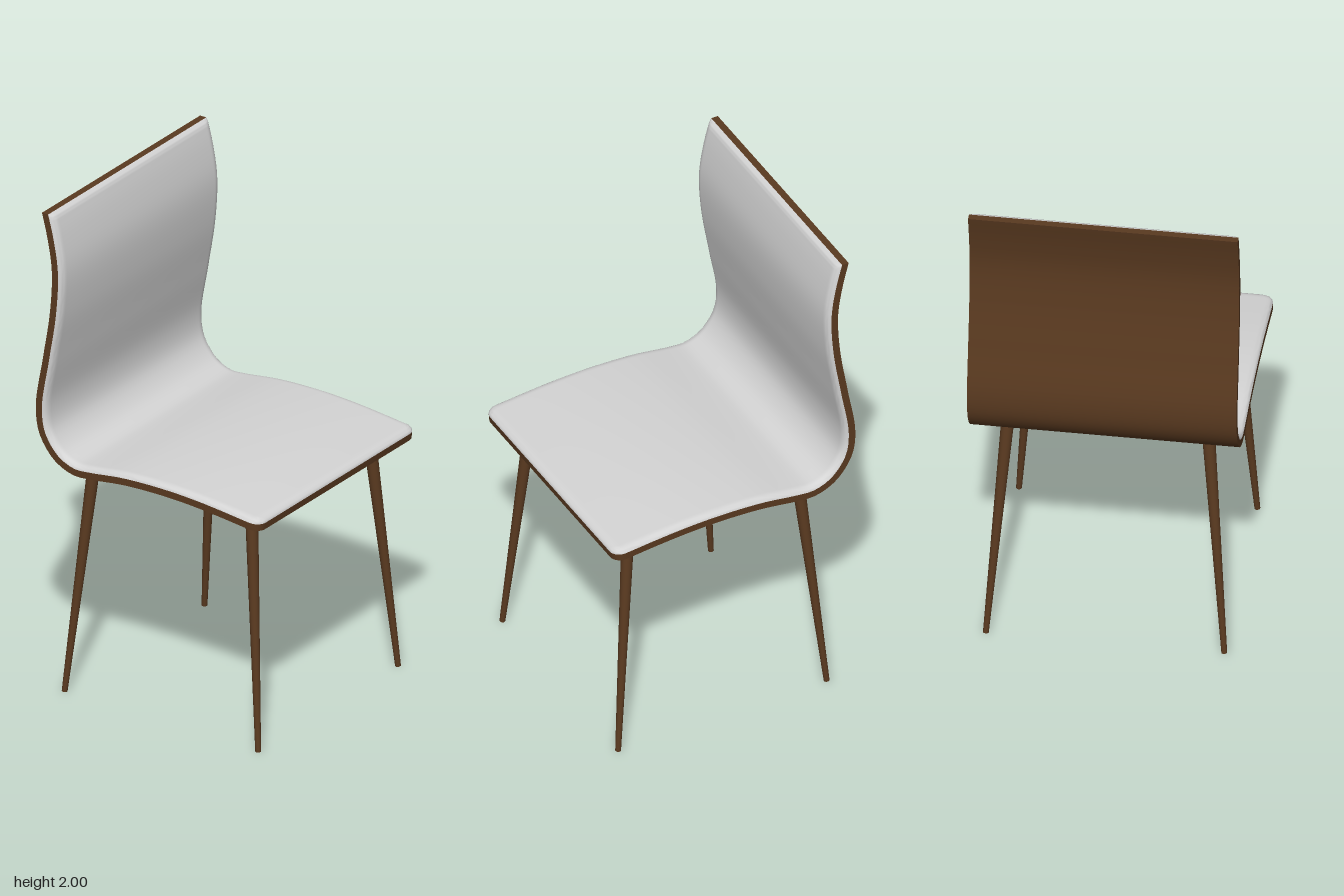
import * as THREE from 'three';
import { toCreasedNormals } from 'three/addons/utils/BufferGeometryUtils.js';

const HALF_WIDTH = 0.51, WOOD = 0.028, PAD = 0.018, CORNER = 0.045;

// underside of the shell, from the top of the back to the front of the seat (z, y)
const profile = new THREE.CatmullRomCurve3([
  [-0.475, 2], [-0.45, 1.9], [-0.43, 1.77], [-0.438, 1.6], [-0.47, 1.4], [-0.503, 1.2],
  [-0.495, 1.1], [-0.468, 1.04], [-0.42, 0.985], [-0.37, 0.957], [-0.32, 0.945],
  [-0.25, 0.95], [-0.1, 0.97], [0.08, 0.977], [0.25, 0.971], [0.52, 0.945],
].map(([z, y]) => new THREE.Vector3(0, y, z)), false, 'centripetal');
profile.arcLengthDivisions = 800;

// stations along the profile, closer together at both ends
function makeStations() {
  const length = profile.getLength();
  const ends = [0, 1, 2, 3, 4, 5, 6, 7].map(i => CORNER * (1 - Math.cos(i / 8 * Math.PI / 2)));
  const distances = [...ends];
  for (let i = 0; i <= 64; i++) distances.push(CORNER + (length - 2 * CORNER) * i / 64);
  for (const e of [...ends].reverse()) distances.push(length - e);
  return distances.map(d => {
    const u = Math.min(1, d / length);
    const point = profile.getPointAt(u), tangent = profile.getTangentAt(u);
    const normal = new THREE.Vector3(0, tangent.z, -tangent.y);
    // keep the top edge of the back level
    normal.y *= Math.min(1, d / 0.15);
    normal.normalize();
    return { point, normal, fromTop: d, fromFront: Math.max(0, length - d) };
  });
}

const quarter = (d, r) => d >= r ? 1 : Math.sqrt(1 - (1 - d / r) ** 2);
const halfWidth = s => HALF_WIDTH - CORNER + CORNER * quarter(s.fromFront, CORNER);

// joins one closed cross-section per station; a section lists [across, outward] pairs
function loft(stations, section, crease) {
  const positions = [], index = [];
  let n = 0;
  for (const s of stations) {
    const ring = section(s);
    n = ring.length;
    for (const [x, h] of ring) {
      positions.push(x, s.point.y + s.normal.y * h, s.point.z + s.normal.z * h);
    }
  }
  const last = (stations.length - 1) * n;
  for (let i = 0; i < last; i += n) {
    for (let j = 0; j < n; j++) {
      const a = i + j, b = i + (j + 1) % n;
      index.push(a, b, b + n, a, b + n, a + n);
    }
  }
  for (let j = 1; j < n - 1; j++) {
    index.push(0, j + 1, j, last, last + j, last + j + 1);
  }
  const geometry = new THREE.BufferGeometry();
  geometry.setAttribute('position', new THREE.Float32BufferAttribute(positions, 3));
  geometry.setIndex(index);
  return toCreasedNormals(geometry, crease);
}

function woodSection(s) {
  const w = halfWidth(s);
  return [[-w, 0], [w, 0], [w, WOOD], [-w, WOOD]];
}

// pad with softly rounded rims
function padSection(s) {
  const w = halfWidth(s), rim = 0.035;
  const height = PAD * Math.max(0.15, quarter(s.fromFront, 0.035) * quarter(s.fromTop, 0.02));
  const right = [];
  for (let k = 0; k <= 6; k++) {
    const a = k / 6 * Math.PI / 2;
    right.push([w - rim + rim * Math.cos(a), WOOD + height * Math.sin(a)]);
  }
  return [...right, ...right.map(([x, h]) => [-x, h]).reverse()];
}

export function createModel() {
  const wood = new THREE.MeshStandardMaterial({ color: 0x5a3a20 });
  wood.name = 'walnut wood';
  const fabric = new THREE.MeshStandardMaterial({ color: 0xd4d4d4 });
  fabric.name = 'light grey upholstery';

  const model = new THREE.Group();
  model.name = 'chair';
  const add = (name, geometry, material) => {
    const mesh = new THREE.Mesh(geometry, material);
    mesh.name = name;
    model.add(mesh);
    return mesh;
  };

  // bent shell and its pad
  const stations = makeStations();
  add('woodShell', loft(stations, woodSection, 0.6), wood);
  add('upholsteredPad', loft(stations, padSection, 0.9), fabric);

  // splayed tapered legs
  const up = new THREE.Vector3(0, 1, 0);
  for (const side of [-1, 1]) {
    for (const [end, topZ, footZ] of [['front', 0.396, 0.478], ['back', -0.325, -0.413]]) {
      const top = new THREE.Vector3(side * 0.379, 0.965, topZ);
      const foot = new THREE.Vector3(side * 0.451, 0, footZ);
      const axis = top.clone().sub(foot);
      const leg = add(end + (side > 0 ? 'Left' : 'Right') + 'Leg',
        new THREE.CylinderGeometry(0.025, 0.011, axis.length(), 20), wood);
      leg.position.copy(top).add(foot).multiplyScalar(0.5);
      leg.quaternion.setFromUnitVectors(up, axis.normalize());
    }
  }

  // the chair stands turned on its base
  model.rotation.y = THREE.MathUtils.degToRad(41.1);
  return model;
}
